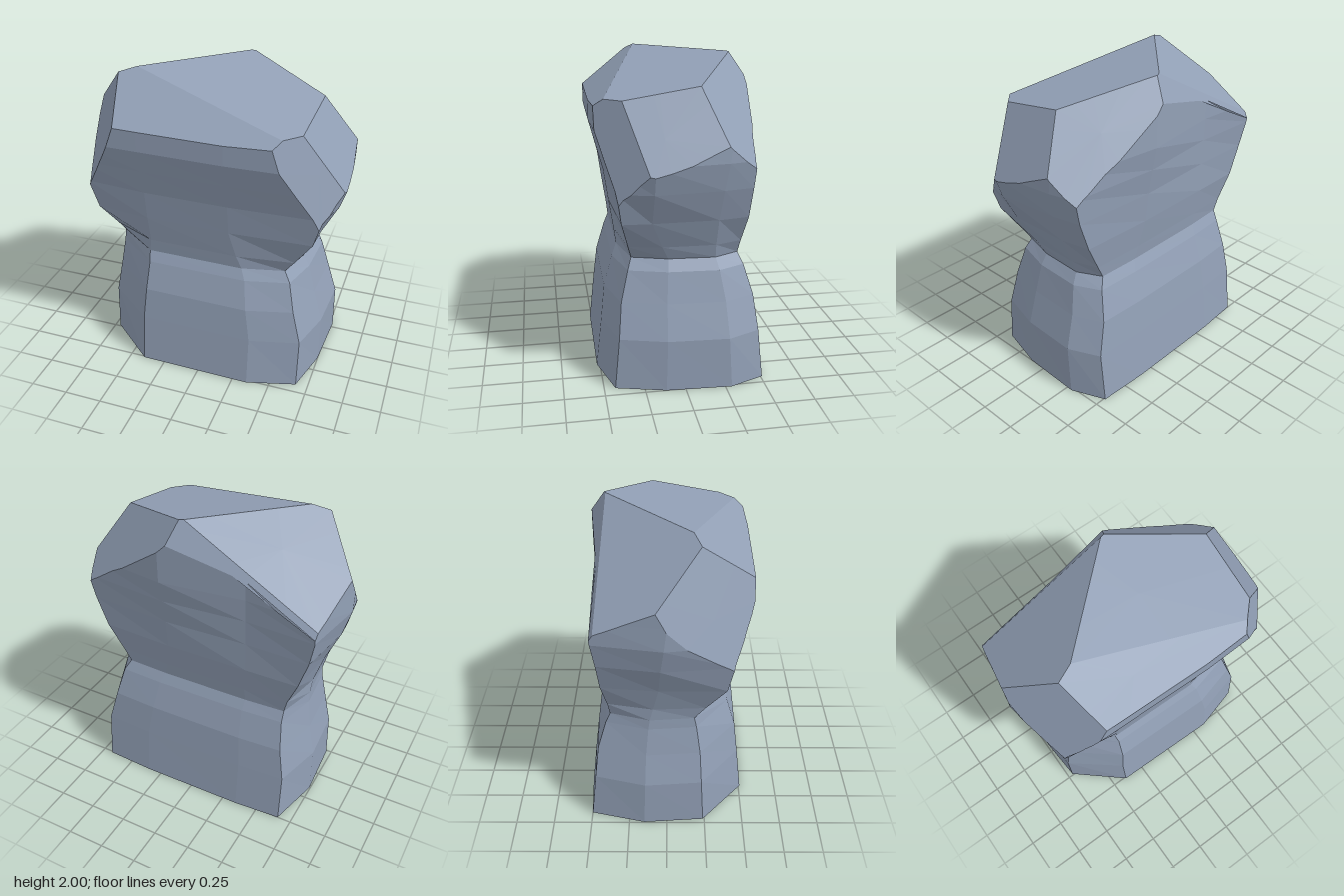
import * as THREE from 'three';

// Outlines [x, z] of foot, shoulder and crown, column by column from front left round to the right
const FOOT = [[-.715, .24], [-.4, .51], [.35, .52], [.67, .43], [.75, .12], [.77, -.29],
  [.68, -.51], [.35, -.525], [-.35, -.52], [-.66, -.5], [-.745, -.15]];
const SHOULDER = [[-.73, .36], [-.37, .4], [.18, .405], [.71, .38], [.72, .2], [.715, -.2],
  [.68, -.39], [.2, -.41], [-.35, -.405], [-.7, -.4], [-.735, -.05]];
const CROWN = [[-.8, .5], [-.37, .51], [.18, .52], [.8, .5], [.88, .2], [.83, -.25],
  [.79, -.41], [.2, -.485], [-.35, -.42], [-.8, -.455], [-.87, 0]];

// Rows of the base: height, blend from foot to shoulder, x scale, x shift, z scale
const BASE_ROWS = [
  [0, 0, 1, 0, 1], [.33, 0, 1, 0, .93], [.55, 0, .93, -.01, .88], [.74, 0, .88, -.02, .77],
  [.81, 0, .85, -.04, .71], [.9, .45, .89, -.02, .81], [1.08, 1, 1, 0, 1],
];
// Rows of the head: height, blend from shoulder to crown in x and in z
const HEAD_ROWS = [[1.08, 0, 0], [1.28, .65, .25], [1.45, 1, .65], [1.6, 1, 1], [2.6, 1, 1]];

// Flat chisel cuts on the head, each through three points
const CUTS = [
  [[-.5, 2, .15], [.07, 2, -.38], [.63, 1.86, -.1]], // top
  [[-.5, 2, .15], [.53, 1.8, .43], [-.54, 1.78, .44]], // front slope
  [[-.5, 2, .15], [.07, 2, -.38], [-.8, 1.5, -.45]], // back left slope
  [[.63, 1.86, -.1], [.15, 1.84, -.49], [.78, 1.4, -.4]], // back right slope
  [[.07, 2, -.38], [.15, 1.84, -.49], [-.13, 1.76, -.46]], // small back chip
  [[-.54, 1.78, .44], [-.77, 1.25, .39], [-.87, 1.45, .08]], // front left corner
  [[.53, 1.8, .43], [.74, 1.22, .4], [.85, 1.4, .23]], // front right corner
  [[.6, 1.8, .35], [.63, 1.86, -.1], [.85, 1.4, .23]], // right side
];

function ring(from, to, y, tx, tz, sx = 1, dx = 0, sz = 1) {
  return from.map(([x, z], i) => new THREE.Vector3(
    THREE.MathUtils.lerp(x, to[i][0], tx) * sx + dx, y,
    THREE.MathUtils.lerp(z, to[i][1], tz) * sz));
}

// Side walls between rings, as a list of triangles
function loft(rings) {
  const faces = [], n = rings[0].length;
  for (let r = 0; r < rings.length - 1; r++) {
    const low = rings[r], high = rings[r + 1];
    for (let i = 0; i < n; i++) {
      const j = (i + 1) % n;
      faces.push([low[i], low[j], high[i]], [low[j], high[j], high[i]]);
    }
  }
  return faces;
}

// Slice off what lies outside a plane and close the cut with a flat facet
function slice(faces, points) {
  const plane = new THREE.Plane().setFromCoplanarPoints(...points.map(p => new THREE.Vector3(...p)));
  if (plane.distanceToPoint(new THREE.Vector3(0, 1.5, 0)) > 0) plane.negate();
  const rim = [], result = [];
  for (const face of faces) {
    const kept = [];
    face.forEach((a, i) => {
      const b = face[(i + 1) % face.length];
      const da = plane.distanceToPoint(a), db = plane.distanceToPoint(b);
      if (da <= 0) kept.push(a);
      if (da * db < 0) {
        const p = a.clone().lerp(b, da / (da - db));
        kept.push(p);
        rim.push(p);
      }
    });
    if (kept.length > 2) result.push(kept);
  }
  if (rim.length < 3) return result;
  const centre = rim.reduce((sum, p) => sum.add(p), new THREE.Vector3()).divideScalar(rim.length);
  const u = rim[0].clone().sub(centre).normalize();
  const v = plane.normal.clone().cross(u);
  const angle = p => Math.atan2(p.clone().sub(centre).dot(v), p.clone().sub(centre).dot(u));
  const loop = rim.sort((p, q) => angle(p) - angle(q))
    .filter((p, i, all) => i === 0 || p.distanceTo(all[i - 1]) > 1e-5);
  loop.forEach((p, i) => result.push([centre, p, loop[(i + 1) % loop.length]]));
  return result;
}

function toGeometry(faces) {
  const points = [];
  for (const f of faces) {
    for (let i = 1; i < f.length - 1; i++) points.push(f[0], f[i], f[i + 1]);
  }
  const geo = new THREE.BufferGeometry().setFromPoints(points);
  geo.computeVertexNormals();
  return geo;
}

export function createModel() {
  const group = new THREE.Group();
  group.name = 'rock';
  const stone = new THREE.MeshStandardMaterial({ color: 0x92a0b6, flatShading: true, side: THREE.DoubleSide });
  const add = (name, faces) => {
    const mesh = new THREE.Mesh(toGeometry(faces), stone);
    mesh.name = name;
    group.add(mesh);
  };
  // Base with a pinched waist, open underneath
  add('rockBase', loft(BASE_ROWS.map(([y, t, sx, dx, sz]) => ring(FOOT, SHOULDER, y, t, t, sx, dx, sz))));
  // Bulging head, chiselled by the cuts
  const head = loft(HEAD_ROWS.map(([y, tx, tz]) => ring(SHOULDER, CROWN, y, tx, tz)));
  add('rockHead', CUTS.reduce(slice, head));
  return group;
}
